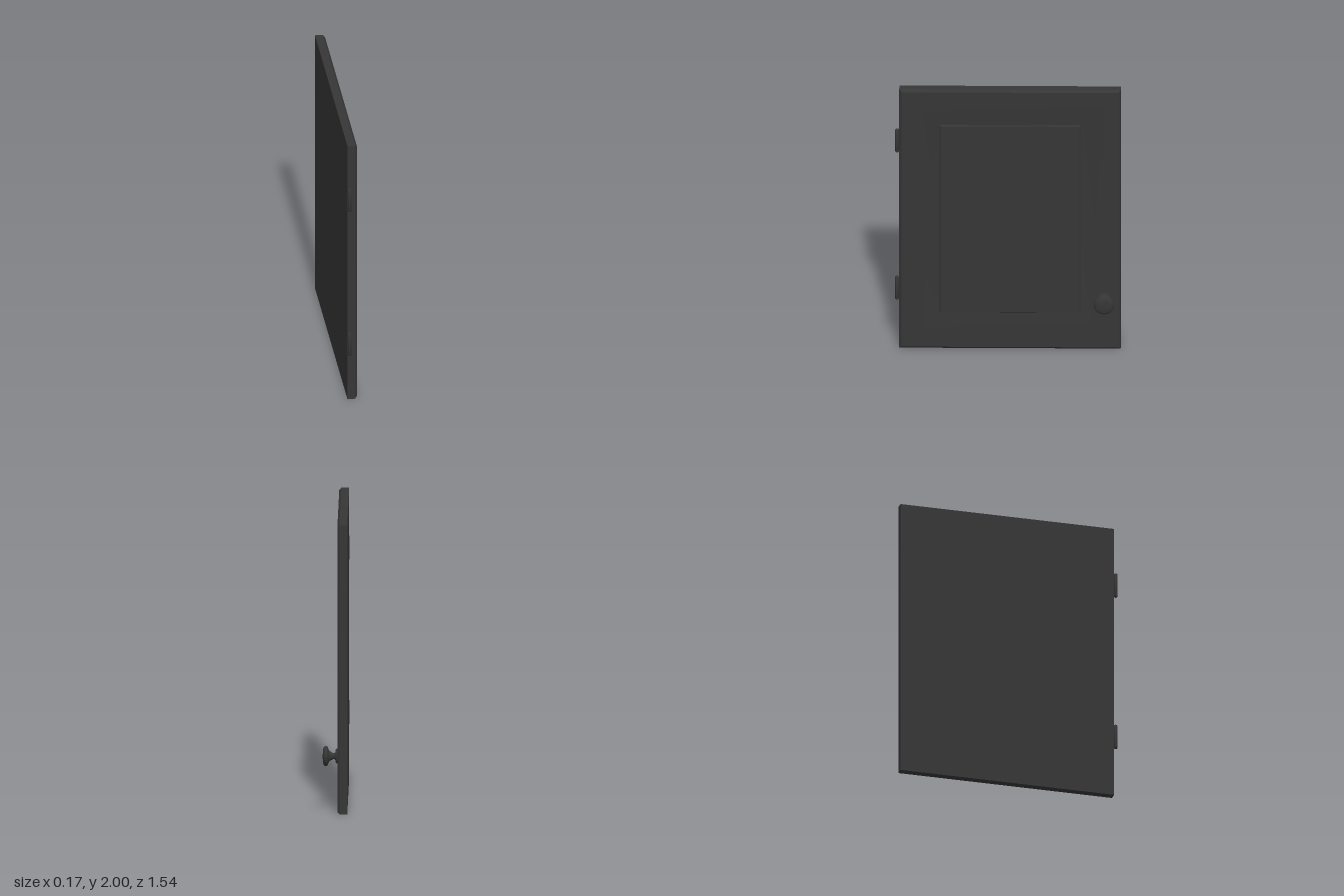
import * as THREE from 'three';
import { toCreasedNormals } from 'three/addons/utils/BufferGeometryUtils.js';

const material = new THREE.MeshStandardMaterial({ color: 0x363636 });

// Door slab facing +x: rectangular rings of [x, inset from the edge], back to front
function slabGeometry(rings, y0, y1, z0, z1) {
  const pos = [], index = [];
  for (const [x, s] of rings) {
    pos.push(x, y0 + s, z0 + s, x, y1 - s, z0 + s, x, y1 - s, z1 - s, x, y0 + s, z1 - s);
  }
  for (let i = 0; i < rings.length - 1; i++) {
    for (let k = 0; k < 4; k++) {
      const a = i * 4 + k, b = i * 4 + (k + 1) % 4;
      index.push(a, b, b + 4, a, b + 4, a + 4);
    }
  }
  const n = (rings.length - 1) * 4;
  index.push(0, 2, 1, 0, 3, 2, n, n + 1, n + 2, n, n + 2, n + 3);
  const g = new THREE.BufferGeometry();
  g.setAttribute('position', new THREE.Float32BufferAttribute(pos, 3));
  g.setIndex(index);
  return toCreasedNormals(g, 0.6);
}

// Turned part from [radius, height] points
function turned(points, segments) {
  const g = new THREE.LatheGeometry(points.map(([r, h]) => new THREE.Vector2(r, h)), segments);
  return toCreasedNormals(g, 0.7);
}

export function createModel() {
  const model = new THREE.Group();
  const add = (name, geometry, x, y, z) => {
    const mesh = new THREE.Mesh(geometry, material);
    mesh.name = name;
    mesh.position.set(x, y, z);
    model.add(mesh);
    return mesh;
  };

  // Door with bevelled rim, gently sloping frame and slightly raised centre panel
  const rings = [
    [-0.085, 0], [-0.032, 0], [-0.026, 0.006], [-0.017, 0.016],
    [-0.017, 0.14], [-0.021, 0.2], [-0.028, 0.275], [-0.021, 0.28], [-0.02, 0.31],
  ];
  add('door', slabGeometry(rings, 0, 2, -0.77, 0.74), 0, 0, 0);

  // Knob with round base plate, waisted stem and domed head
  const knob = [
    [0, -0.02], [0.05, -0.02], [0.05, -0.01], [0.044, -0.005], [0.026, -0.003],
    [0.021, 0.005], [0.022, 0.015], [0.03, 0.03], [0.042, 0.042], [0.063, 0.05],
    [0.069, 0.055], [0.069, 0.065], [0.063, 0.075], [0.05, 0.08], [0.025, 0.083], [0, 0.083],
  ];
  add('knob', turned(knob, 32), 0, 0.385, -0.657).rotation.z = -Math.PI / 2;

  // Hinge barrels with softened ends
  const barrel = [
    [0, -0.088], [0.009, -0.088], [0.013, -0.083], [0.013, 0.083], [0.009, 0.088], [0, 0.088],
  ];
  for (const [name, y] of [['lowerHinge', 0.443], ['upperHinge', 1.582]]) {
    add(name, turned(barrel, 16), -0.072, y, 0.755);
  }
  return model;
}
